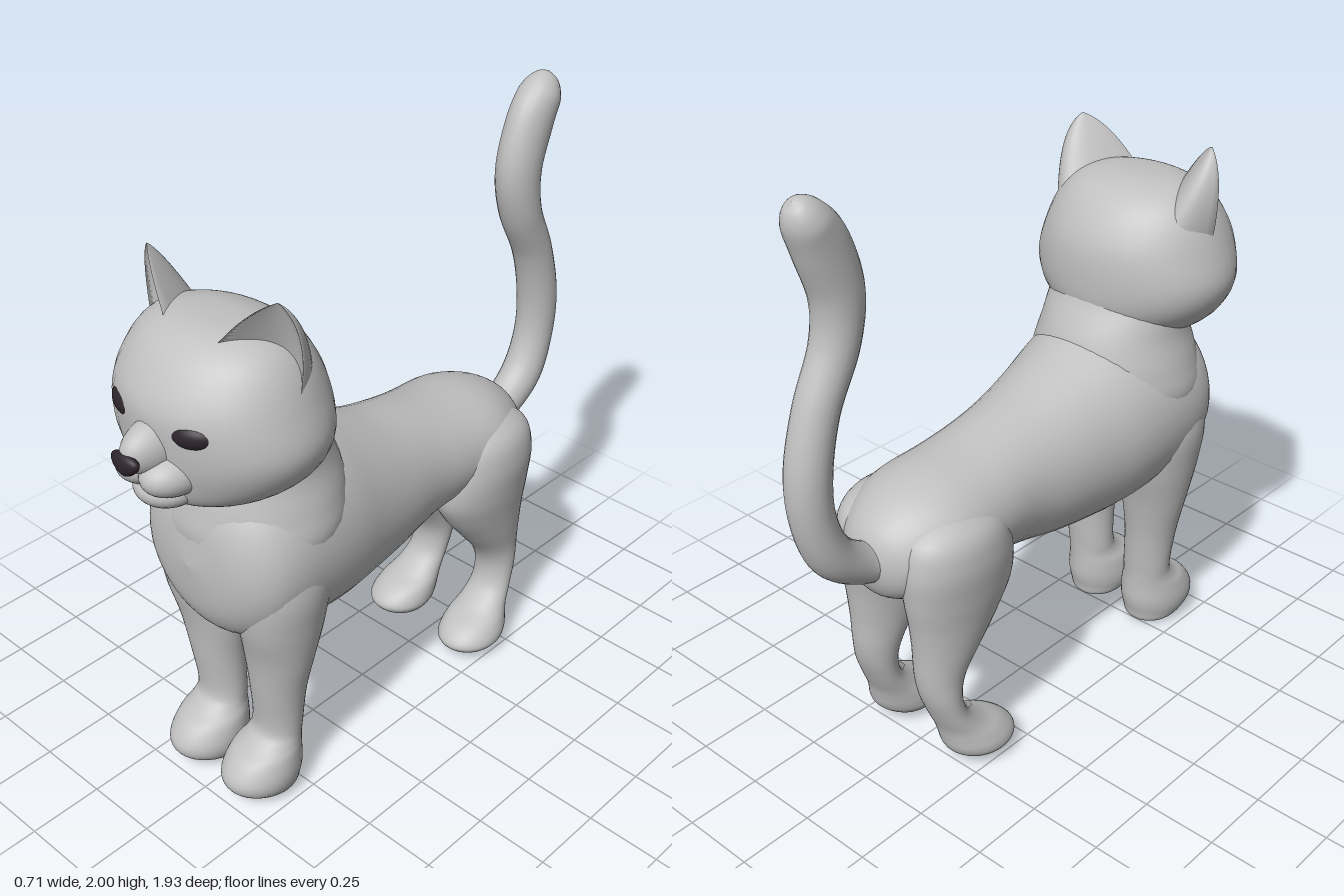
import * as THREE from 'three';

const fur = new THREE.MeshStandardMaterial({ color: 0xc0c0c0 });
fur.name = 'grey fur';
const dark = new THREE.MeshStandardMaterial({ color: 0x2c242b });
dark.name = 'dark eyes and nose';

// Smooth interpolation through rows of numbers, u from 0 to 1
function sample(rows, u) {
  const s = u * (rows.length - 1);
  const i = Math.min(Math.floor(s), rows.length - 2), t = s - i;
  const a = rows[Math.max(i - 1, 0)], b = rows[i], c = rows[i + 1], d = rows[Math.min(i + 2, rows.length - 1)];
  return b.map((p, k) => p + 0.5 * t * (c[k] - a[k] + t * (2 * a[k] - 5 * p + 4 * c[k] - d[k] + t * (3 * (p - c[k]) + d[k] - a[k]))));
}

// Closed skin from rings of points; faces are turned outward by signed volume
function skin(steps, sides, point) {
  const pos = [], index = [], a = new THREE.Vector3(), b = new THREE.Vector3(), c = new THREE.Vector3();
  for (let i = 0; i <= steps; i++)
    for (let j = 0; j < sides; j++) pos.push(...point(i / steps, j / sides));
  for (let i = 0; i < steps; i++)
    for (let j = 0; j < sides; j++) {
      const p = i * sides + j, q = i * sides + (j + 1) % sides;
      index.push(p, q, p + sides, q, q + sides, p + sides);
    }
  let volume = 0;
  for (let k = 0; k < index.length; k += 3) {
    a.fromArray(pos, index[k] * 3);
    b.fromArray(pos, index[k + 1] * 3);
    c.fromArray(pos, index[k + 2] * 3);
    volume += a.dot(b.cross(c));
  }
  if (volume < 0) index.reverse();
  const g = new THREE.BufferGeometry();
  g.setAttribute('position', new THREE.Float32BufferAttribute(pos, 3));
  g.setIndex(index);
  g.computeVertexNormals();
  return g;
}

// Oval sections along y or z; row = [position, centre x, half width, low, high]
function loft(rows, axis, side = 1) {
  return skin(rows.length * 5, 40, (u, v) => {
    const [t, cx, hx, lo, hi] = sample(rows, u), ang = v * Math.PI * 2;
    const x = side * (cx + Math.max(hx, 0) * Math.cos(ang));
    const w = (lo + hi) / 2 + (hi - lo) / 2 * Math.sin(ang);
    return axis === 'y' ? [x, t, w] : [x, w, t];
  });
}

const TORSO = [
  [-0.71, 0, 0, 0.8, 0.8], [-0.7, 0, 0.07, 0.73, 0.87], [-0.66, 0, 0.14, 0.67, 0.93],
  [-0.58, 0, 0.2, 0.64, 0.985], [-0.47, 0, 0.235, 0.64, 1.02], [-0.3, 0, 0.225, 0.645, 1.04],
  [-0.15, 0, 0.22, 0.62, 1.07], [0, 0, 0.24, 0.585, 1.105], [0.15, 0, 0.265, 0.565, 1.16],
  [0.3, 0, 0.295, 0.56, 1.22], [0.45, 0, 0.31, 0.575, 1.25], [0.58, 0, 0.305, 0.6, 1.24],
  [0.67, 0, 0.265, 0.64, 1.19], [0.73, 0, 0.17, 0.74, 1.09], [0.755, 0, 0, 0.91, 0.91],
];
const NECK = [
  [0.82, 0, 0, 0.48, 0.48], [0.88, 0, 0.25, 0.28, 0.7], [1.0, 0, 0.3, 0.22, 0.745],
  [1.1, 0, 0.285, 0.21, 0.735], [1.2, 0, 0.255, 0.235, 0.71], [1.3, 0, 0.24, 0.29, 0.68],
  [1.4, 0, 0.2, 0.35, 0.64], [1.42, 0, 0, 0.5, 0.5],
];
const SKULL = [
  [1.17, 0, 0, 0.6, 0.6], [1.175, 0, 0.12, 0.42, 0.77], [1.2, 0, 0.225, 0.36, 0.82],
  [1.28, 0, 0.315, 0.308, 0.845], [1.38, 0, 0.355, 0.295, 0.86], [1.5, 0, 0.325, 0.305, 0.86],
  [1.6, 0, 0.28, 0.355, 0.805], [1.66, 0, 0.22, 0.42, 0.74], [1.69, 0, 0.13, 0.5, 0.67],
  [1.697, 0, 0, 0.58, 0.58],
];
const FORELEG = [
  [0, 0.125, 0, 0.56, 0.56], [0.01, 0.125, 0.08, 0.49, 0.66], [0.05, 0.125, 0.11, 0.475, 0.735],
  [0.1, 0.125, 0.118, 0.465, 0.752], [0.16, 0.125, 0.108, 0.465, 0.71], [0.2, 0.128, 0.092, 0.465, 0.645],
  [0.25, 0.13, 0.088, 0.463, 0.61], [0.4, 0.14, 0.095, 0.45, 0.625], [0.55, 0.15, 0.118, 0.425, 0.645],
  [0.7, 0.165, 0.13, 0.39, 0.68], [0.85, 0.17, 0.14, 0.38, 0.69], [1.0, 0.17, 0.1, 0.42, 0.66],
  [1.05, 0.17, 0, 0.5, 0.5],
];
const HINDLEG = [
  [0.015, 0.16, 0, -0.41, -0.41], [0.02, 0.16, 0.07, -0.47, -0.32], [0.05, 0.165, 0.105, -0.515, -0.275],
  [0.08, 0.165, 0.11, -0.535, -0.275], [0.12, 0.16, 0.1, -0.545, -0.32], [0.16, 0.155, 0.085, -0.555, -0.4],
  [0.22, 0.15, 0.075, -0.58, -0.465], [0.3, 0.145, 0.075, -0.61, -0.48], [0.38, 0.14, 0.08, -0.625, -0.45],
  [0.48, 0.14, 0.095, -0.63, -0.37], [0.58, 0.14, 0.11, -0.64, -0.29], [0.68, 0.14, 0.125, -0.655, -0.24],
  [0.8, 0.14, 0.132, -0.66, -0.25], [0.9, 0.13, 0.11, -0.62, -0.3], [0.97, 0.12, 0, -0.46, -0.46],
];
// Tail rows: z, y, radius
const TAIL = [
  [-0.6, 0.8, 0], [-0.62, 0.8, 0.07], [-0.72, 0.815, 0.066], [-0.83, 0.9, 0.07], [-0.885, 1.04, 0.068],
  [-0.89, 1.2, 0.07], [-0.845, 1.38, 0.068], [-0.765, 1.55, 0.072], [-0.745, 1.7, 0.084],
  [-0.79, 1.85, 0.087], [-0.84, 1.94, 0.068], [-0.865, 1.983, 0.038], [-0.875, 1.997, 0],
];

function tailGeometry() {
  return skin(80, 24, (u, v) => {
    const [z, y, r] = sample(TAIL, u), ang = v * Math.PI * 2;
    const p = sample(TAIL, Math.max(u - 0.01, 0)), q = sample(TAIL, Math.min(u + 0.01, 1));
    const dz = q[0] - p[0], dy = q[1] - p[1], len = Math.hypot(dz, dy), rr = Math.max(r, 0);
    return [Math.min(rr, 0.072) * Math.cos(ang), y + rr * Math.sin(ang) * dz / len, z - rr * Math.sin(ang) * dy / len];
  });
}

// Quadratic curve through arrays
const bend = (a, b, c, t) => a.map((p, k) => (1 - t) * (1 - t) * p + 2 * t * (1 - t) * b[k] + t * t * c[k]);

// Cupped ear: rounded back and hollow front, both narrowing to the tip
function earGeometry(side) {
  const tip = [0.262, 1.82, 0.6];
  return skin(20, 32, (u, v) => {
    const inner = bend([0.085, 1.64, 0.69], [0.19, 1.79, 0.66], tip, u);
    const outer = bend([0.305, 1.53, 0.57], [0.345, 1.75, 0.56], tip, u);
    const back = bend([0.2, 1.55, 0.27], [0.275, 1.77, 0.46], tip, u);
    const hollow = bend([0.21, 1.57, 0.44], [0.265, 1.76, 0.53], tip, u);
    const [x, y, z] = v < 0.5 ? bend(inner, back, outer, v * 2) : bend(outer, hollow, inner, v * 2 - 1);
    return [side * x, y, z];
  });
}

export function createModel() {
  const cat = new THREE.Group();
  cat.name = 'cat';
  const head = new THREE.Group();
  head.name = 'head';
  cat.add(head);

  const add = (parent, name, geometry, material = fur) => {
    const mesh = new THREE.Mesh(geometry, material);
    mesh.name = name;
    parent.add(mesh);
    return mesh;
  };
  const blob = (name, centre, radii, material) => {
    const mesh = add(head, name, new THREE.SphereGeometry(1, 32, 20), material);
    mesh.position.set(...centre);
    mesh.scale.set(...radii);
    return mesh;
  };

  // Body and tail
  add(cat, 'torso', loft(TORSO, 'z'));
  add(cat, 'neck', loft(NECK, 'y'));
  add(cat, 'tail', tailGeometry());

  // Head and muzzle
  add(head, 'skull', loft(SKULL, 'y'));
  blob('noseBridge', [0, 1.38, 0.8], [0.075, 0.09, 0.15]);
  blob('chin', [0, 1.235, 0.8], [0.1, 0.06, 0.1]);

  // Nose pad, narrower at the bottom
  const nose = blob('nose', [0, 1.362, 0.94], [0.056, 0.036, 0.024], dark);
  const p = nose.geometry.attributes.position;
  for (let i = 0; i < p.count; i++) p.setX(i, p.getX(i) * (0.9 + 0.4 * p.getY(i)));
  nose.geometry.computeVertexNormals();

  // Paired parts
  for (const [side, label] of [[1, 'left'], [-1, 'right']]) {
    add(cat, label + 'Foreleg', loft(FORELEG, 'y', side));
    add(cat, label + 'HindLeg', loft(HINDLEG, 'y', side));
    add(head, label + 'Ear', earGeometry(side));
    blob(label + 'Cheek', [side * 0.05, 1.305, 0.8], [0.085, 0.07, 0.125]);
    const eye = blob(label + 'Eye', [side * 0.142, 1.455, 0.812], [0.068, 0.039, 0.036], dark);
    eye.rotation.set(0, side * 0.42, side * 0.06);
  }
  return cat;
}
